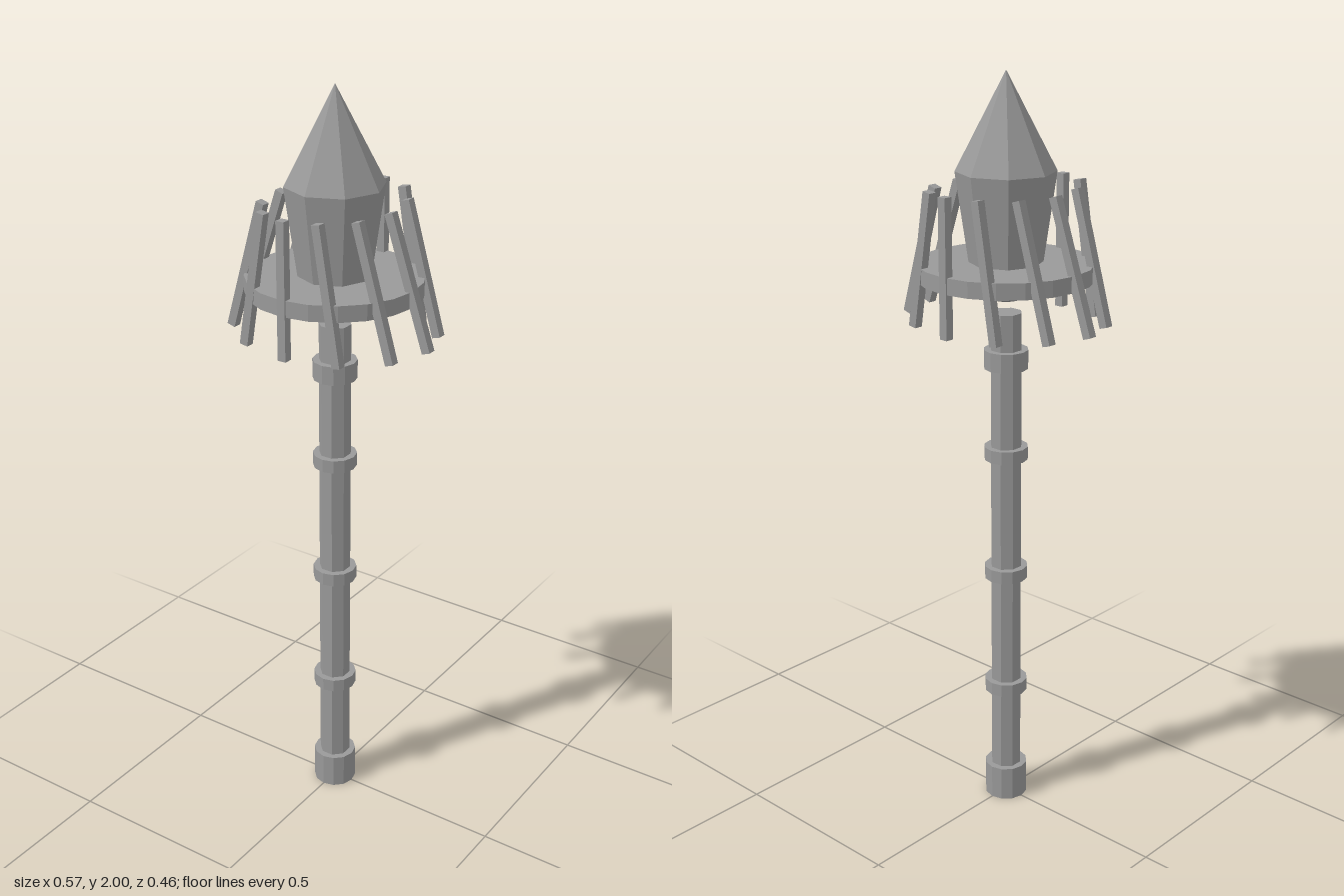
import * as THREE from 'three';

export function createModel() {
  const model = new THREE.Group();
  const grey = new THREE.MeshStandardMaterial({ color: 0x999999, flatShading: true });
  grey.name = 'stone grey';

  function add(name, geometry, y = 0, x = 0, z = 0) {
    const mesh = new THREE.Mesh(geometry, grey);
    mesh.name = name;
    mesh.position.set(x, y, z);
    model.add(mesh);
    return mesh;
  }

  // Upright cylinder between two heights
  function drum(name, radius, bottom, top, sides) {
    return add(name, new THREE.CylinderGeometry(radius, radius, top - bottom, sides), (bottom + top) / 2);
  }

  // Shaft with its foot and rings
  drum('shaft', 0.042, 0.02, 1.4, 8).rotation.y = Math.PI / 8;
  drum('foot', 0.058, 0, 0.095, 12);
  const rings = [[0.325, 0.36], [0.665, 0.7], [1.005, 1.04], [1.253, 1.303]];
  for (const [bottom, top] of rings) drum('shaftRing', 0.058, bottom, top, 12);

  // Eight-sided pointed head, tapering towards its underside
  const profile = [[0, 1.43], [0.03, 1.433], [0.083, 1.452], [0.127, 1.757], [0, 2]];
  add('head', new THREE.LatheGeometry(profile.map(([r, y]) => new THREE.Vector2(r, y)), 8));

  // Plate around the head
  drum('plate', 0.226, 1.488, 1.53, 20);

  // Bars around the plate, leaning in towards the middle along x only
  const bar = new THREE.BoxGeometry(0.023, 0.35, 0.023);
  for (let i = 0; i < 12; i++) {
    const a = (i * Math.PI) / 6;
    const mesh = add('bar', bar, 1.549, 0.217 * Math.cos(a), 0.217 * Math.sin(a));
    mesh.rotation.z = 0.33 * Math.cos(a);
  }

  return model;
}
